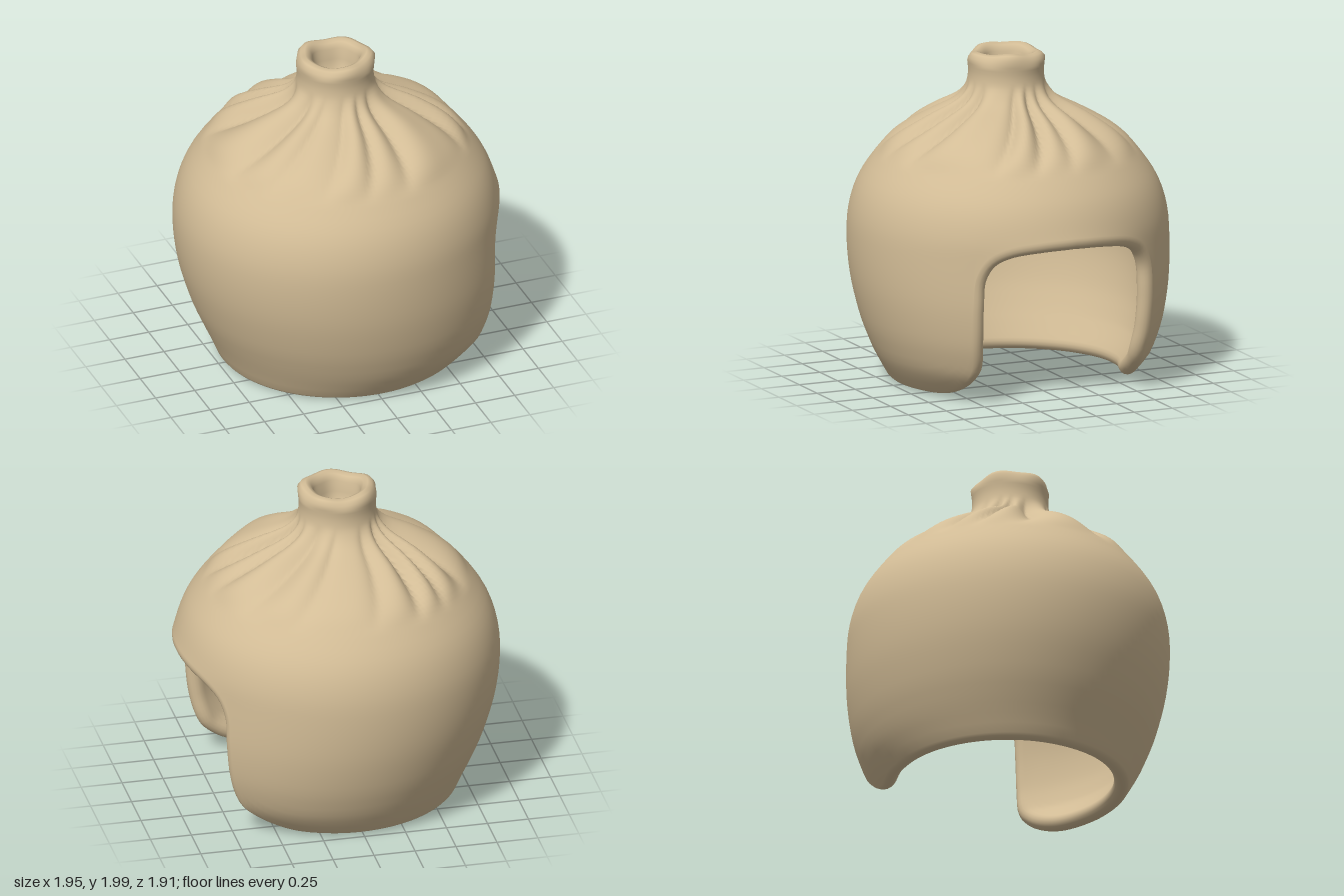
import * as THREE from 'three';

const COLUMNS = 200;    // points around each ring
const WALL = 0.1;       // thickness of the rounded edge
const Z_SCALE = 0.98;   // body is slightly narrower front to back
const SHOULDER = 1.35;  // height where the body meets the gathered top
const EAVES = 1.07;     // height where the inside wall meets the ceiling
const BASE = 0.035;     // height of the outer wall's lower edge

// Outer silhouette as (radius, height)
const silhouette = new THREE.SplineCurve([
  [0.69, -0.02], [0.725, 0.04], [0.76, 0.13], [0.81, 0.24], [0.877, 0.4], [0.945, 0.63], [0.974, 0.85],
  [0.962, 1.04], [0.9, 1.22], [0.77, 1.4], [0.66, 1.5], [0.49, 1.6], [0.32, 1.69], [0.25, 1.77],
  [0.23, 1.85], [0.236, 1.94], [0.236, 2.0],
].map(([r, y]) => new THREE.Vector2(r, y))).getPoints(400);

function radiusAt(y) {
  let i = 1;
  while (i < silhouette.length - 1 && silhouette[i].y < y) i++;
  const a = silhouette[i - 1], b = silhouette[i];
  return a.x + (b.x - a.x) * (y - a.y) / (b.y - a.y);
}

const fromDoor = (theta) => Math.min(theta, Math.PI * 2 - theta);

// The lower body swells gently towards the doorway
function bodyRadius(theta, y) {
  const swell = 0.135 * Math.exp(-((fromDoor(theta) / 1.6) ** 2));
  const { smoothstep } = THREE.MathUtils;
  return radiusAt(y) + swell * (1 - smoothstep(y, 0.15, 0.95)) * smoothstep(y, -0.08, 0.2);
}

const polar = (r, theta, y) => new THREE.Vector3(r * Math.cos(theta), y, r * Math.sin(theta) * Z_SCALE);

function normalAt(theta, y) {
  const slope = (bodyRadius(theta, y + 0.02) - bodyRadius(theta, y - 0.02)) / 0.04;
  return new THREE.Vector3(Math.cos(theta), -slope, Math.sin(theta)).normalize();
}

function angleAtZ(z, y) {
  let a = 0.7;
  for (let i = 0; i < 6; i++) a = Math.asin(z / (Z_SCALE * bodyRadius(a, y)));
  return a;
}

// Lower edge of the wall, as (angle, height): over the doorway, down the jamb, round the base
function makeEdge() {
  const door = [[0, 1.02], [0.2, 1.01], [0.4, 0.975], [0.51, 0.91], [0.57, 0.8], [0.585, 0.62],
    [0.58, 0.4], [0.565, 0.22], [0.575, 0.12], [0.62, 0.05]].map(([z, y]) => [angleAtZ(z, y), y]);
  const half = [...door, [1.3, BASE], [1.8, BASE], [2.4, BASE]];
  const mirrored = half.slice(1).reverse().map(([a, y]) => [2 * Math.PI - a, y]);
  const all = [...half, [Math.PI, BASE], ...mirrored, [2 * Math.PI, 1.02]];
  const curve = new THREE.CatmullRomCurve3(all.map(([a, y]) => new THREE.Vector3(a, y, 0)));
  curve.arcLengthDivisions = 1000;
  return curve.getSpacedPoints(COLUMNS).slice(0, COLUMNS);
}

// Swirling uneven pleats, fading out at the neck and the shoulder
function pleat(theta, y) {
  const t = (y - 1.38) / (1.8 - 1.38);
  if (t <= 0 || t >= 1) return 0;
  const a = theta - 0.8 * (1.75 - y);
  const b = a + 0.12 * Math.sin(3 * a + 1) + 0.07 * Math.sin(5 * a);
  const depth = 0.05 + 0.02 * Math.sin(2 * a + 0.6);
  return Math.sin(Math.PI * t) * (depth * (Math.abs(Math.sin(7 * b)) - 0.66) + 0.01 * Math.sin(9 * a));
}

// Join closed rings of points into one smooth skin
function skin(rings) {
  const positions = [], index = [];
  rings.forEach((ring, i) => ring.forEach((p, j) => {
    positions.push(p.x, p.y, p.z);
    if (i === rings.length - 1) return;
    const k = (j + 1) % COLUMNS, a = i * COLUMNS, b = a + COLUMNS;
    index.push(a + j, a + k, b + j, b + j, a + k, b + k);
  }));
  const geometry = new THREE.BufferGeometry();
  geometry.setAttribute('position', new THREE.Float32BufferAttribute(positions, 3));
  geometry.setIndex(index);
  geometry.computeVertexNormals();
  return geometry;
}

export function createModel() {
  const clay = new THREE.MeshStandardMaterial({ color: 0xd2bc96 });
  clay.name = 'warm tan';
  clay.side = THREE.DoubleSide;

  const edge = makeEdge();
  const angles = edge.map((_, j) => (j / COLUMNS) * Math.PI * 2);
  const rings = [];

  // Neck: shallow hollow, then a rounded and slightly wavy rim
  const neck = [[0.001, 1.77], [0.08, 1.775], [0.12, 1.8], [0.132, 1.87], [0.14, 1.94],
    [0.158, 1.975], [0.185, 1.988], [0.212, 1.98], [0.232, 1.955]];
  for (const [r, y] of neck) {
    const wave = Math.max(0, (y - 1.85) / 0.14);
    rings.push(angles.map((a) => polar(r * (1 + 0.03 * Math.sin(5 * a)), a,
      y + wave * (0.008 * Math.sin(2 * a + 0.8) + 0.005 * Math.sin(5 * a))).add(new THREE.Vector3(-0.008, 0, 0.008))));
  }

  // Gathered top: neck wall flowing into pleated shoulders
  for (let i = 0; i < 26; i++) {
    const y = 1.92 - (1.92 - SHOULDER) * (i / 26);
    const shift = 0.008 * THREE.MathUtils.smoothstep(y, 1.5, 1.8);
    rings.push(angles.map((a) => polar(radiusAt(y), a, y)
      .addScaledVector(normalAt(a, y), pleat(a, y)).add(new THREE.Vector3(-shift, 0, shift))));
  }

  // Body: each column runs from a level ring at height top down to the wall edge
  const ROWS = 24;
  const bodyPoint = (j, s, top) => {
    const theta = THREE.MathUtils.lerp(angles[j], edge[j].x, s);
    const y = THREE.MathUtils.lerp(top, edge[j].y, s);
    const lip = 0.014 * s ** 5 * Math.exp(-((fromDoor(theta) / 0.45) ** 2));
    return { p: polar(bodyRadius(theta, y) + lip, theta, y), n: normalAt(theta, y) };
  };
  for (let i = 0; i <= ROWS; i++) rings.push(edge.map((_, j) => bodyPoint(j, i / ROWS, SHOULDER).p));

  // Rounded edge around the doorway and the open base
  const rim = edge.map((_, j) => {
    const { p, n } = bodyPoint(j, 1, SHOULDER);
    const next = bodyPoint((j + 1) % COLUMNS, 1, SHOULDER).p;
    const last = bodyPoint((j + COLUMNS - 1) % COLUMNS, 1, SHOULDER).p;
    const out = n.clone().cross(next.sub(last).normalize()).normalize();
    return { centre: p.clone().addScaledVector(n, -WALL / 2), n, out };
  });
  for (let i = 1; i < 8; i++) {
    const a = (i / 8) * Math.PI;
    rings.push(rim.map(({ centre, n, out }) => centre.clone()
      .addScaledVector(n, Math.cos(a) * WALL / 2).addScaledVector(out, Math.sin(a) * WALL / 2)));
  }

  // Inside wall, thickening upwards, then a low domed ceiling
  for (let i = ROWS; i >= 0; i--) {
    const s = i / ROWS;
    rings.push(edge.map((_, j) => {
      const { p, n } = bodyPoint(j, s, EAVES);
      return p.addScaledVector(n, -WALL - 0.09 * (1 - s) ** 3);
    }));
  }
  const eaves = rings[rings.length - 1];
  for (let i = 1; i <= 12; i++) {
    const k = Math.max(1 - i / 12, 0.001);
    rings.push(eaves.map((p) => new THREE.Vector3(p.x * k, p.y + 0.2 * (1 - k * k), p.z * k)));
  }

  const pouch = new THREE.Mesh(skin(rings), clay);
  pouch.name = 'gatheredPouch';
  pouch.geometry.computeBoundingBox();
  pouch.position.y = -pouch.geometry.boundingBox.min.y;

  const group = new THREE.Group();
  group.name = 'pouchHouse';
  group.add(pouch);
  return group;
}
